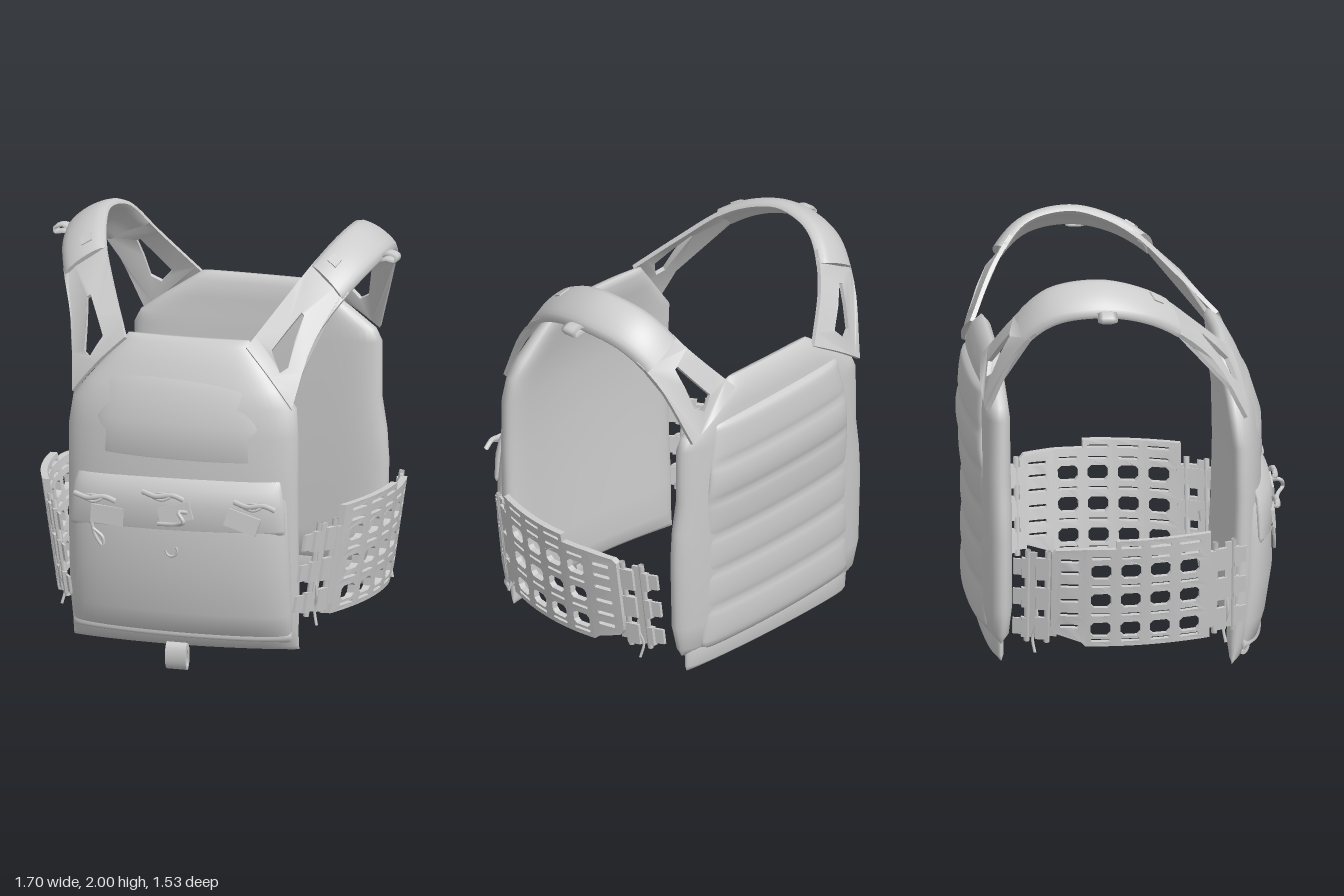
import * as THREE from 'three';
import { toCreasedNormals } from 'three/addons/utils/BufferGeometryUtils.js';

const V = (x, y, z) => new THREE.Vector3(x, y, z);
const mat = new THREE.MeshStandardMaterial({ color: 0xcccccc, side: THREE.DoubleSide });

function add(parent, name, geo) {
  const m = new THREE.Mesh(geo, mat);
  m.name = name;
  parent.add(m);
  return m;
}

// Padded slab lofted from rows [y, half width, z, half thickness]; edges bend by bow
function slab(rows, bow, tilt = 0) {
  const N = 56, pos = [], idx = [];
  for (const [y, w, z, h] of rows) {
    for (let j = 0; j < N; j++) {
      const a = (j / N) * Math.PI * 2, k = Math.cos(a), x = w * k;
      const d = Math.sign(Math.sin(a)) * Math.sqrt(Math.max(0, 1 - k ** 8));
      pos.push(x, y + tilt * x, z + h * d - bow * (x / 0.55) ** 2);
    }
  }
  for (let i = 0; i < rows.length - 1; i++) {
    for (let j = 0; j < N; j++) {
      const a = i * N + j, b = i * N + (j + 1) % N;
      idx.push(a, a + N, b, b, a + N, b + N);
    }
  }
  const t = (rows.length - 1) * N;
  for (let j = 0; j < N / 2; j++) {
    const q = [j, j + 1, (N - j) % N, N - j - 1];
    idx.push(q[0], q[1], q[2], q[1], q[3], q[2]);
    idx.push(t + q[1], t + q[0], t + q[2], t + q[1], t + q[2], t + q[3]);
  }
  const g = new THREE.BufferGeometry();
  g.setAttribute('position', new THREE.Float32BufferAttribute(pos, 3));
  g.setIndex(idx);
  g.computeVertexNormals();
  return g;
}

// Bend a geometry by a rule that turns (x, y, z) into a new point
function bend(geo, rule, crease = 0.7) {
  const p = geo.attributes.position;
  for (let i = 0; i < p.count; i++) {
    const q = rule(p.getX(i), p.getY(i), p.getZ(i));
    p.setXYZ(i, q.x, q.y, q.z);
  }
  return toCreasedNormals(geo, crease);
}

// Outline from corners with every edge subdivided
function outline(pts, n) {
  return pts.flatMap(([x, y], i) => {
    const [X, Y] = pts[(i + 1) % pts.length];
    return Array.from({ length: n }, (_, k) => new THREE.Vector2(x + (X - x) * k / n, y + (Y - y) * k / n));
  });
}

function plate(pts, n, holes, depth) {
  const s = new THREE.Shape(outline(pts, n));
  for (const h of holes) s.holes.push(new THREE.Path(outline(h, 2)));
  return new THREE.ExtrudeGeometry(s, { depth, bevelEnabled: false });
}

// Window with cut corners
function win(x, y, w, h) {
  const a = w / 2, b = h / 2, c = Math.min(a, b) * 0.45;
  return [[-a + c, -b], [a - c, -b], [a, -b + c], [a, b - c], [a - c, b], [-a + c, b], [-a, b - c], [-a, -b + c]]
    .map(([i, j]) => [x + i, y + j]);
}

function tube(pts, r, closed = false) {
  return new THREE.TubeGeometry(new THREE.CatmullRomCurve3(pts.map(p => V(...p)), closed), 24, r, 6, closed);
}

// Shoulder strap surface: inner and outer edge, v across, u along, w outward
const inner = new THREE.CatmullRomCurve3([[.29, 1.55, .46], [.41, 1.73, .27], [.505, 1.88, .1], [.555, 1.955, -.05],
  [.58, 1.985, -.2], [.55, 1.94, -.4], [.46, 1.78, -.54], [.27, 1.55, -.67]].map(p => V(...p)));
const outer = new THREE.CatmullRomCurve3([[.53, 1.285, .515], [.59, 1.57, .36], [.685, 1.75, .17], [.745, 1.835, 0],
  [.77, 1.865, -.2], [.745, 1.825, -.4], [.68, 1.68, -.55], [.575, 1.37, -.68]].map(p => V(...p)));
function strapPoint(v, u, w) {
  const t = THREE.MathUtils.clamp(u / 7, 0, 1);
  const a = inner.getPoint(t), b = outer.getPoint(t);
  const along = inner.getTangent(t).add(outer.getTangent(t));
  const n = b.clone().sub(a).cross(along).normalize();
  const crown = 0.018 * Math.sin(Math.PI * THREE.MathUtils.clamp(v, 0, 1));
  return a.lerp(b, v).addScaledVector(n, w + crown);
}

// Side belt surface: x runs backward, z is outward
const beltPoint = (x, y, w) => V(0.77 - 0.5 * (0.12 - x) ** 2 + 0.15 * (y - 0.5) + w, y, -x);
function beltBox(parent, name, z, y, w, h, out, d) {
  const g = new THREE.BoxGeometry(w, h, d, Math.max(1, Math.round(w / 0.04)), 1, 1);
  g.translate(-z, y, out);
  return add(parent, name, bend(g, beltPoint));
}

function buildSide() {
  const side = new THREE.Group();

  // Split yokes at both ends of the shoulder strap
  add(side, 'frontYoke', bend(plate([[0, 0], [1, 0], [1, 2.1], [0, 2.1]], 8,
    [[[.34, .32], [.62, .2], [.72, .38], [.56, 1.15], [.48, 1.15]]], 0.02), strapPoint));
  add(side, 'backYoke', bend(plate([[0, 5.4], [1, 5.4], [1, 7], [0, 7]], 8,
    [[[.46, 6.05], [.54, 6.05], [.7, 6.65], [.6, 6.8], [.36, 6.72]]], 0.02), strapPoint));

  // Padded sleeve over the shoulder, thinner at its edges
  const pad = new THREE.BoxGeometry(1, 3.8, 1, 10, 28, 1).translate(0.5, 3.8, 0);
  add(side, 'shoulderPad', bend(pad, (v, u, w) => {
    const round = Math.sqrt(Math.max(0, 1 - Math.abs(2 * v - 1) ** 5));
    return strapPoint(v, u, 0.008 + w * (0.02 + 0.03 * round));
  }, 1));
  add(side, 'padPatch', bend(new THREE.BoxGeometry(.24, .26, .014).translate(.35, 2.35, .033), strapPoint));

  // Webbing tab on the outside of the shoulder
  const tab = add(side, 'shoulderLoop', tube([[.75, 1.86, -.15], [.79, 1.895, -.15], [.835, 1.88, -.15], [.83, 1.86, -.15], [.79, 1.865, -.15]], 0.009, true));
  tab.scale.z = 5;
  tab.position.z = 0.6;

  // Perforated side belt, one column of windows after another
  for (const x of [-.24, -.1, .04, .18]) {
    const top = x < .1 ? .8 : .76, l = x < -.2 ? x - .1 : x - .07, r = x + .07;
    const holes = [.645, .5, .355].map(y => win(x, y, .095, .07));
    for (const y of [.715, .575, .43, .3]) holes.push(win(x, y, .09, .014));
    if (x < .1) holes.push(win(x, .768, .1, .014));
    add(side, 'beltColumn', bend(plate([[l, .27], [r, .27], [r, top], [l, top]], 4, holes, .034), beltPoint));
  }
  const slots = [.7, .64, .575, .5, .43, .37].map(y => win(.325, y, .085, .018));
  add(side, 'beltRearEnd', bend(plate([[.25, .27], [.27, .29], [.39, .33], [.41, .36], [.41, .73], [.39, .75], [.25, .76]],
    4, slots, .034), beltPoint));
  beltBox(side, 'beltFrontEnd', .345, .51, .05, .38, .017, .03);

  // Quick-release connectors between belt and panels
  for (const [z, dir] of [[.42, 1], [-.48, -1]]) {
    for (const y of [.65, .5, .35]) {
      beltBox(side, 'connectorStrap', z, y, .2, .08, .005, .014);
      beltBox(side, 'connectorBuckle', z - dir * .03, y, .06, .11, .016, .026);
      beltBox(side, 'connectorKeeper', z + dir * .05, y, .025, .1, .014, .026);
    }
    beltBox(side, 'connectorPlate', z + dir * .015, .515, .045, .43, .008, .014);
    for (const k of [-.055, .035]) {
      const p = [.28, .42, .58, .74].map(y => beltPoint(-(z + dir * k), y, .01).toArray());
      add(side, 'connectorRod', tube(p, 0.014));
    }
    const c = beltPoint(-z, .3, .02);
    add(side, 'releaseCord', tube([[c.x, .5, c.z], [c.x + .012, .38, c.z + .01], [c.x - .005, .3, c.z - .01], [c.x + .008, .23, c.z]], 0.007));
  }
  return side;
}

export function createModel() {
  const model = new THREE.Group();
  model.name = 'plateCarrierVest';

  // Front panel with a chest pad and a large zipped pouch
  add(model, 'frontPanel', slab([[.11, .55, .515, .008], [.13, .55, .52, .03], [.2, .55, .53, .055], [.35, .56, .545, .066],
    [.6, .56, .56, .068], [.9, .56, .567, .068], [1.15, .56, .562, .068], [1.28, .545, .54, .066], [1.36, .48, .52, .06],
    [1.46, .395, .485, .052], [1.55, .315, .45, .038], [1.575, .295, .44, .01]], .06, .015));
  add(model, 'chestPad', slab([[1.01, .4, .595, .008], [1.04, .42, .605, .035], [1.2, .42, .6, .036], [1.36, .4, .552, .034],
    [1.44, .35, .52, .02], [1.46, .34, .505, .005]], .07));
  add(model, 'frontPouch', slab([[.17, .51, .565, .008], [.2, .53, .575, .05], [.3, .535, .59, .065], [.5, .535, .612, .074],
    [.7, .53, .615, .07], [.85, .52, .61, .06], [.93, .5, .6, .01]], .07));
  add(model, 'pouchFlap', slab([[.69, .52, .655, .01], [.71, .525, .655, .033], [.82, .52, .65, .04], [.9, .505, .64, .035],
    [.95, .49, .62, .008]], .07, .025));
  add(model, 'pouchHem', slab([[.165, .53, .575, .01], [.19, .535, .58, .055], [.215, .53, .58, .01]], .07));

  // Back panel with lower side wings, softly quilted cover and bottom flap
  add(model, 'backPanel', slab([[.24, .58, -.645, .01], [.28, .6, -.645, .055], [.4, .63, -.648, .07], [.75, .64, -.65, .072],
    [.9, .63, -.65, .072], [1.05, .605, -.652, .072], [1.32, .605, -.652, .068], [1.38, .575, -.652, .062], [1.47, .45, -.65, .056],
    [1.55, .33, -.645, .046], [1.59, .27, -.64, .01]], -.018));
  const quilt = [[.27, .46, -.7, .01]];
  for (let i = 0; i <= 48; i++) {
    const s = i / 48, fold = Math.abs(Math.sin(s * Math.PI * 6));
    const swell = Math.exp(-(((s - .76) / .16) ** 2));
    quilt.push([.29 + 1.13 * s, .5 - .08 * s ** 4, -.705 - .022 * swell, .024 + .012 * Math.sqrt(fold)]);
  }
  quilt.push([1.44, .4, -.69, .008]);
  add(model, 'backQuilting', slab(quilt, -.03, -.03));
  add(model, 'backFlap', slab([[.145, .54, -.64, .008], [.17, .55, -.645, .03], [.32, .56, -.65, .035]], -.02));

  // Strap loop hanging below the front panel
  const ring = new THREE.Shape().absellipse(0, 0, .033, .065, 0, Math.PI * 2);
  ring.holes.push(new THREE.Path().absellipse(0, -.01, .016, .04, 0, Math.PI * 2));
  const pull = add(model, 'bottomPullLoop', toCreasedNormals(
    new THREE.ExtrudeGeometry(ring, { depth: .1, bevelEnabled: false, curveSegments: 14 }), .7));
  pull.rotation.y = Math.PI / 2;
  pull.position.set(-.065, .065, .555);

  // Fabric tabs, zip pulls and cords on the pouch
  for (const [x, y, turn] of [[-.32, .75, -.05], [.02, .79, .28], [.34, .77, -.3]]) {
    const tab = add(model, 'pouchTab', new THREE.BoxGeometry(.16, .085, .016));
    tab.position.set(x, y, .695 - .07 * Math.abs(x));
    tab.rotation.set(-.08, x * .25, turn);
    const s = Math.sign(x - .1), X = x + s * .06, z = .695 - .07 * Math.abs(x);
    add(model, 'zipPull', tube([[X - .1, y + .095, z], [X - .03, y + .08, z + .012], [X + .05, y + .09, z + .01], [X + .1, y + .07, z]], .013));
    add(model, 'zipCord', tube([[X - .06, y + .08, z], [X, y + .065, z + .02], [X + .04, y + .085, z + .015], [X - .01, y + .095, z + .01]], .007, true));
  }
  add(model, 'hangingCord', tube([[-.4, .72, .665], [-.38, .65, .67], [-.34, .6, .675], [-.34, .64, .675], [-.39, .68, .67]], .008));
  add(model, 'frontCord', tube([[.08, .8, .69], [.05, .81, .74], [.08, .77, .755], [.04, .75, .73], [-.06, .74, .71]], .01));
  const hook = add(model, 'smallHook', new THREE.TorusGeometry(.028, .006, 6, 14, Math.PI * 1.2));
  hook.position.set(0, .61, .69);
  hook.rotation.z = Math.PI;

  // Straps and belts on both sides
  for (const s of [1, -1]) {
    const side = buildSide();
    side.name = s > 0 ? 'leftSide' : 'rightSide';
    side.scale.x = s;
    model.add(side);
  }
  return model;
}
